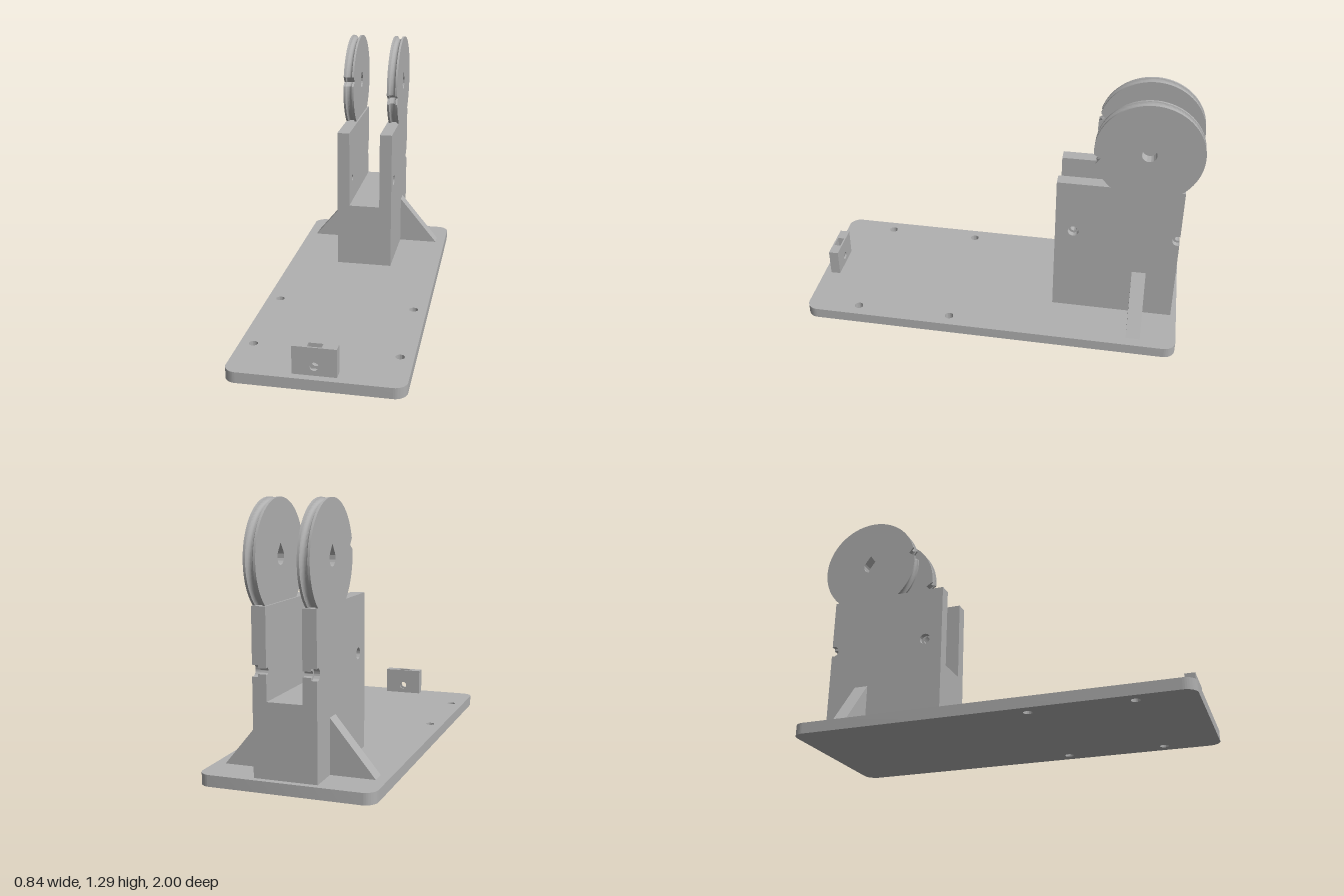
import * as THREE from 'three';
import { toCreasedNormals } from 'three/addons/utils/BufferGeometryUtils.js';

const BASE_TOP = 0.055, WALL_TOP = 0.825, SLOT_FLOOR = 0.405;
const OUT = 0.152, IN = 0.085;              // tower half width, slot half width
const FRONT = -0.295, BACK = -0.925;        // tower ends in z
const AXLE_Y = 1.025, AXLE_Z = -0.733, R = 0.265;

export function createModel() {
  const model = new THREE.Group();
  model.name = 'pulleyStand';
  const grey = new THREE.MeshStandardMaterial({ color: 0xb0b0b0 });
  grey.name = 'grey';

  function add(name, geometry, x = 0, y = 0, z = 0) {
    const mesh = new THREE.Mesh(geometry, grey);
    mesh.name = name;
    mesh.position.set(x, y, z);
    model.add(mesh);
    return mesh;
  }
  const extrude = (shape, depth, curveSegments = 24, steps = 1) =>
    new THREE.ExtrudeGeometry(shape, { depth, curveSegments, steps, bevelEnabled: false });
  const circle = (x, y, r) => new THREE.Path().absarc(x, y, r, 0, Math.PI * 2, true);
  const smooth = (g) => toCreasedNormals(g, 0.55);

  // Round hole with a pointed roof
  function teardrop(x, y, r) {
    const a = Math.PI * 0.2;
    const p = new THREE.Path();
    p.absarc(x, y, r, Math.PI - a, Math.PI * 2 + a, false);
    p.lineTo(x, y + r / Math.sin(a));
    p.closePath();
    return p;
  }

  function rect(x0, y0, x1, y1) {
    const s = new THREE.Shape();
    s.moveTo(x0, y0).lineTo(x1, y0).lineTo(x1, y1).lineTo(x0, y1).closePath();
    return s;
  }

  // Base plate with rounded corners and four screw holes
  const w = 0.42, z0 = -0.955, z1 = 1, c = 0.06;
  const plate = new THREE.Shape();
  plate.absarc(w - c, -z0 - c, c, 0, Math.PI / 2, false);
  plate.absarc(-w + c, -z0 - c, c, Math.PI / 2, Math.PI, false);
  plate.absarc(-w + c, -z1 + c, c, Math.PI, Math.PI * 1.5, false);
  plate.absarc(w - c, -z1 + c, c, Math.PI * 1.5, Math.PI * 2, false);
  plate.closePath();
  for (const x of [-0.353, 0.353]) {
    for (const z of [0.23, 0.725]) plate.holes.push(circle(x, -z, 0.022));
  }
  add('basePlate', smooth(extrude(plate, BASE_TOP).rotateX(-Math.PI / 2)));

  // Solid block under the tower slot
  add('towerCore', new THREE.BoxGeometry(IN * 2, SLOT_FLOOR - BASE_TOP, FRONT - BACK),
    0, (SLOT_FLOOR + BASE_TOP) / 2, (FRONT + BACK) / 2);

  // Tower wall layer: a bolt hole, and a half-open notch in the back edge
  function wallLayer(r, thickness, pointed) {
    const y = 0.54, e = -BACK, n = 0.916, a = Math.acos((e - n) / r);
    const s = new THREE.Shape();
    s.moveTo(-FRONT, BASE_TOP);
    s.lineTo(e, BASE_TOP);
    s.absarc(n, y, r, -a, a, true);
    s.lineTo(e, WALL_TOP);
    s.lineTo(-FRONT, WALL_TOP);
    s.closePath();
    s.holes.push(pointed ? teardrop(0.388, y, r) : circle(0.388, y, r));
    return smooth(extrude(s, thickness).rotateY(Math.PI / 2));
  }

  // Pulley disc: round groove in the rim, pointed axle hole, cord nick at one angle
  function pulley(nick, width) {
    const s = new THREE.Shape();
    s.absarc(0, 0, R, nick + 0.1, nick + Math.PI * 2 - 0.1, false);
    s.lineTo(Math.cos(nick) * (R - 0.03), Math.sin(nick) * (R - 0.03));
    s.closePath();
    s.holes.push(teardrop(0, 0, 0.037));
    const steps = 10, half = 0.018, depth = 0.017;
    const g = extrude(s, width, 96, steps);
    const p = g.attributes.position;
    for (let i = 0; i < p.count; i++) {
      const k = Math.round(p.getZ(i) / width * steps);
      if (k === 0 || k === steps) continue;
      const t = (k - 1) / (steps - 2) * Math.PI;
      p.setZ(i, width / 2 - half * Math.cos(t));
      const r = Math.hypot(p.getX(i), p.getY(i));
      if (r < 0.2) continue;
      const f = (r - depth * Math.sin(t)) / r;
      p.setXY(i, p.getX(i) * f, p.getY(i) * f);
    }
    return smooth(g.rotateY(Math.PI / 2));
  }

  // Side walls, pulleys and gusset ribs
  const bore = 0.028;                        // depth of the wide outer bore
  const discWidth = 0.058;
  const rib = new THREE.Shape();
  rib.moveTo(OUT - 0.01, BASE_TOP).lineTo(0.368, BASE_TOP).lineTo(OUT, 0.318)
    .lineTo(OUT - 0.01, 0.318).closePath();
  for (const side of [-1, 1]) {
    const label = side > 0 ? 'left' : 'right';
    const at = (inner, outer) => (side > 0 ? inner : -outer);
    add(label + 'WallInner', wallLayer(0.016, OUT - bore - IN, true), at(IN, OUT - bore));
    add(label + 'WallOuter', wallLayer(0.028, bore, false), at(OUT - bore, OUT));
    add(label + 'Pulley', pulley(Math.PI + side * 0.18, discWidth),
      at(OUT - discWidth, OUT), AXLE_Y, AXLE_Z);
    const ribMesh = add(label + 'Rib', extrude(rib, 0.072), 0, 0, -0.738 - side * 0.036);
    if (side < 0) ribMesh.rotation.y = Math.PI;
  }

  // Front post: two drilled faces around a pocketed middle
  const postTop = 0.195, pw = 0.104, pz = 0.912, skin = 0.008, gap = 0.035;
  const face = rect(-pw, BASE_TOP, pw, postTop);
  face.holes.push(circle(0, 0.1, 0.021));
  add('postBackFace', smooth(extrude(face, skin)), 0, 0, pz);
  add('postFrontFace', smooth(extrude(face, skin)), 0, 0, pz + skin + gap);
  const middle = new THREE.Shape();
  middle.moveTo(-pw, BASE_TOP).lineTo(pw, BASE_TOP).lineTo(pw, postTop).lineTo(0.034, postTop)
    .lineTo(0.034, 0.066).lineTo(-0.034, 0.066).lineTo(-0.034, postTop).lineTo(-pw, postTop)
    .closePath();
  add('postMiddle', extrude(middle, gap), 0, 0, pz + skin);

  return model;
}
